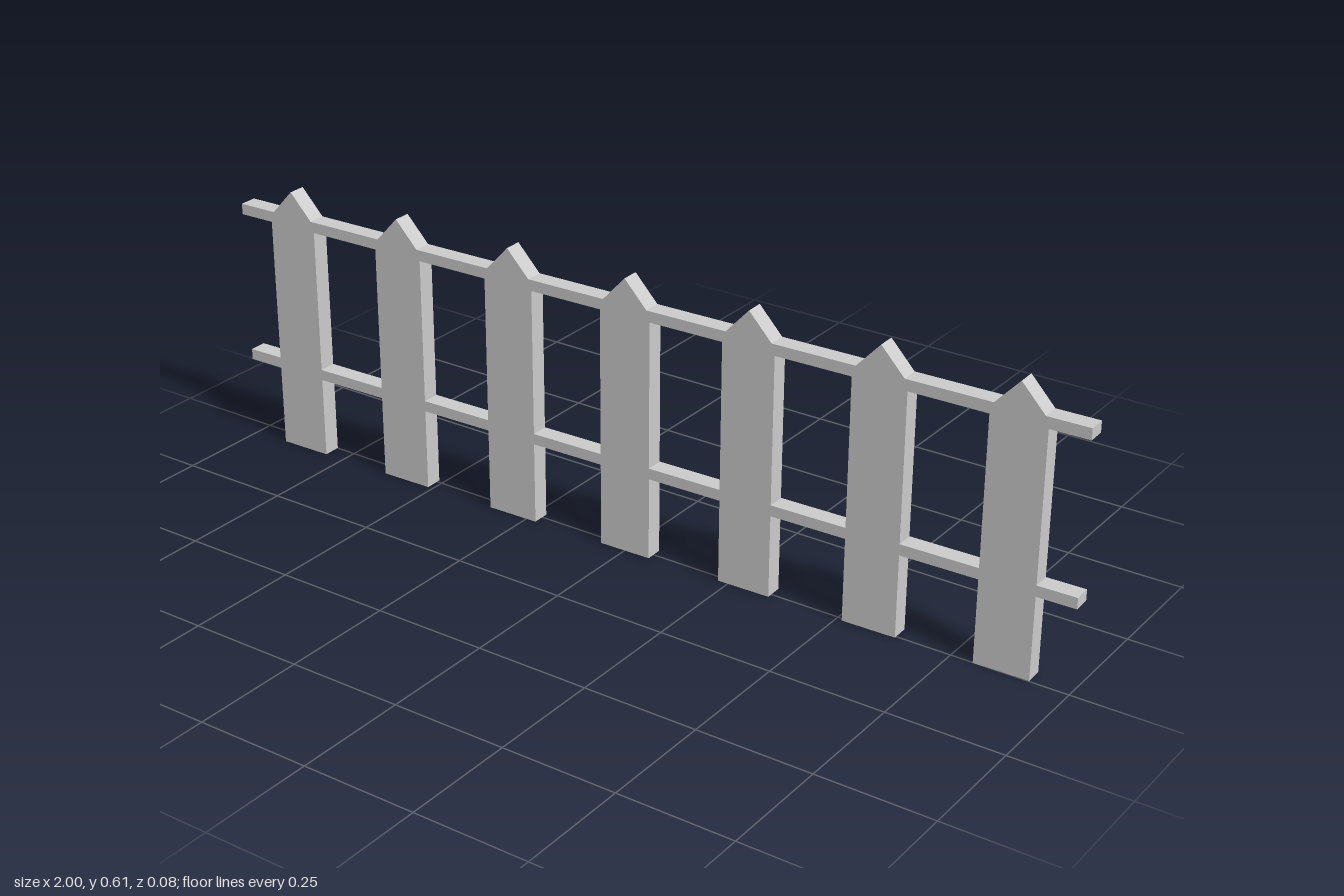
import * as THREE from 'three';

const material = new THREE.MeshStandardMaterial({ color: 0xcccccc, flatShading: true });

export function createModel() {
  const fence = new THREE.Group();
  fence.name = 'picketFence';
  const depth = 0.039, count = 7, spacing = 2 / count;

  // Pointed board, extruded through the fence thickness
  const half = 0.059, shoulder = 0.541, peak = 0.605;
  const outline = new THREE.Shape([
    [-half, 0], [half, 0], [half, shoulder], [0, peak], [-half, shoulder],
  ].map(([x, y]) => new THREE.Vector2(x, y)));
  const picketGeometry = new THREE.ExtrudeGeometry(outline, { depth, bevelEnabled: false });
  picketGeometry.translate(0, 0, -depth / 2);

  for (let i = 0; i < count; i++) {
    const picket = new THREE.Mesh(picketGeometry, material);
    picket.name = `picket${i + 1}`;
    picket.position.x = (i - (count - 1) / 2) * spacing;
    fence.add(picket);
  }

  // Two rails, flush with the pickets
  const railGeometry = new THREE.BoxGeometry(1.999, 0.024, depth);
  for (const [name, y] of [['lowerRail', 0.193], ['upperRail', 0.537]]) {
    const rail = new THREE.Mesh(railGeometry, material);
    rail.name = name;
    rail.position.y = y;
    fence.add(rail);
  }

  // The fence line runs slightly askew
  fence.rotation.y = 0.023;
  const model = new THREE.Group();
  model.name = 'fence';
  model.add(fence);
  return model;
}
